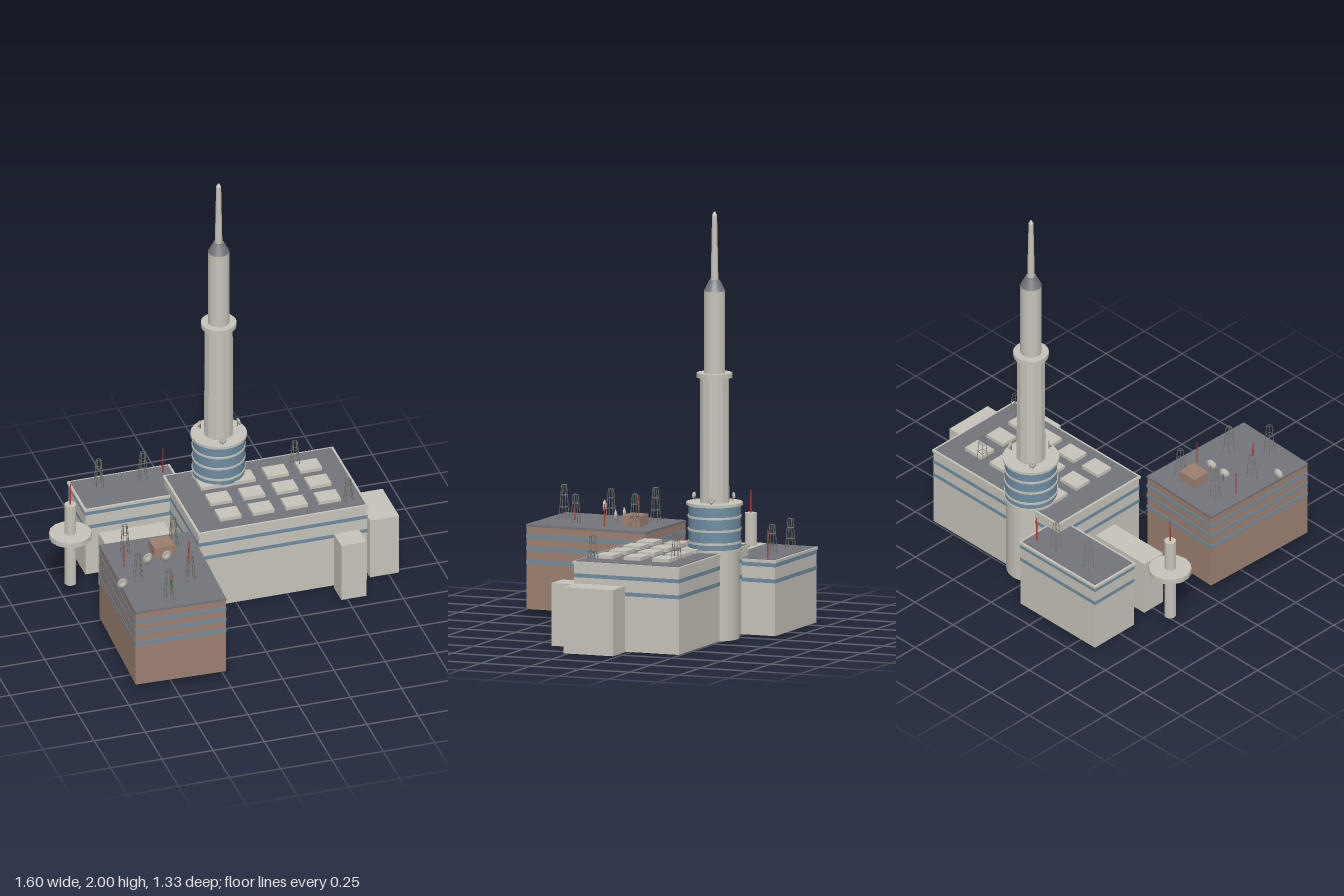
import * as THREE from 'three';

const mat = (name, color) => {
  const m = new THREE.MeshStandardMaterial({ color });
  m.name = name;
  return m;
};

export function createModel() {
  const root = new THREE.Group();
  root.name = 'broadcastComplex';
  const concrete = mat('concrete', 0xc5c2b8);
  const roofGrey = mat('roofGrey', 0x73737b);
  const glass = mat('blueGlass', 0x6d8ca1);
  const brick = mat('brownBrick', 0x9c7f70);
  const steel = mat('steel', 0x77776f);
  const red = mat('warningRed', 0xb5352c);
  const facetted = mat('shaftConcrete', 0xc5c2b8);
  facetted.flatShading = true;

  const add = (parent, name, geo, material, x = 0, y = 0, z = 0) => {
    const m = new THREE.Mesh(geo, material);
    m.name = name;
    m.position.set(x, y, z);
    parent.add(m);
    return m;
  };
  // box given by its centre in plan, size, and bottom and top heights
  const box = (parent, name, material, x, z, w, d, y0, y1) =>
    add(parent, name, new THREE.BoxGeometry(w, y1 - y0, d), material, x, (y0 + y1) / 2, z);
  const tube = (parent, name, material, x, z, r0, r1, y0, y1, sides = 24) =>
    add(parent, name, new THREE.CylinderGeometry(r1, r0, y1 - y0, sides), material, x, (y0 + y1) / 2, z);
  const rod = (parent, name, a, b, r, material) => {
    const dir = b.clone().sub(a);
    const m = add(parent, name, new THREE.CylinderGeometry(r, r, dir.length(), 4), material);
    m.position.copy(a).addScaledVector(dir, 0.5);
    m.quaternion.setFromUnitVectors(new THREE.Vector3(0, 1, 0), dir.normalize());
  };

  // block with window bands and a roof
  function building(name, wall, x, z, w, d, y0, y1, bands, rim) {
    const g = new THREE.Group();
    g.name = name;
    g.position.set(x, 0, z);
    root.add(g);
    box(g, 'walls', wall, 0, 0, w, d, y0, y1 - 0.006);
    for (const y of bands) box(g, 'windowBand', glass, 0, 0, w + 0.004, d + 0.004, y - 0.009, y + 0.009);
    if (rim) box(g, 'parapet', concrete, 0, 0, w + 0.012, d + 0.012, y1 - 0.012, y1);
    const e = rim ? -0.012 : 0.004;
    box(g, 'roof', roofGrey, 0, 0, w + e, d + e, y1 - 0.008, y1 + 0.003);
    return g;
  }

  building('mainHall', concrete, 0.23, -0.225, 0.82, 0.53, 0, 0.41, [0.345, 0.27], true);
  building('rearHall', concrete, -0.347, -0.532, 0.49, 0.256, 0, 0.355, [0.332, 0.257], true);
  const brown = building('brickHall', brick, -0.455, 0.345, 0.435, 0.612, 0.035, 0.43, [0.377, 0.32, 0.258], false);
  brown.rotation.y = -0.035;

  // skylights in a grid
  for (const x of [-0.005, 0.156, 0.318, 0.479])
    for (const z of [-0.35, -0.207, -0.065])
      box(root, 'skylight', concrete, x, z, 0.106, 0.086, 0.41, 0.43);

  // annexes
  box(root, 'sideAnnex', concrete, 0.73, -0.1, 0.142, 0.25, 0, 0.31);
  box(root, 'frontAnnex', concrete, 0.533, 0.117, 0.123, 0.113, 0, 0.295);
  box(root, 'linkBlock', concrete, -0.4, -0.243, 0.32, 0.124, 0, 0.28);
  box(root, 'penthouse', brick, -0.405, 0.175, 0.1, 0.09, 0.43, 0.485);

  // main tower
  const tower = new THREE.Group();
  tower.name = 'tower';
  tower.position.set(0.065, 0, -0.425);
  root.add(tower);
  tube(tower, 'towerBase', concrete, 0, 0, 0.115, 0.115, 0, 0.415, 32);
  tube(tower, 'glassDrum', glass, 0, 0, 0.122, 0.122, 0.415, 0.63, 32);
  for (const y of [0.42, 0.455, 0.515, 0.575]) tube(tower, 'drumRing', concrete, 0, 0, 0.126, 0.126, y - 0.005, y + 0.005, 32);
  tube(tower, 'platform', concrete, 0, 0, 0.132, 0.132, 0.627, 0.64, 32);
  tube(tower, 'lowerShaft', facetted, 0, 0, 0.069, 0.067, 0.64, 1.226, 12);
  tube(tower, 'collar', concrete, 0, 0, 0.083, 0.083, 1.224, 1.246, 32);
  tube(tower, 'upperShaft', concrete, 0, 0, 0.05, 0.05, 1.246, 1.63);
  tube(tower, 'cone', roofGrey, 0, 0, 0.05, 0.025, 1.63, 1.68);
  tube(tower, 'spire', concrete, 0, 0, 0.018, 0.012, 1.68, 1.985, 12);
  tube(tower, 'spireTip', concrete, 0, 0, 0.012, 0.004, 1.985, 2, 12);

  // small pylon with a disc
  tube(root, 'pylonShaft', facetted, -0.705, -0.28, 0.028, 0.028, 0.05, 0.48, 12);
  tube(root, 'pylonDisc', concrete, -0.705, -0.28, 0.1, 0.1, 0.3, 0.326, 14);

  // red whip aerials: x, z, bottom, top
  for (const [x, z, y0, y1] of [[-0.705, -0.28, 0.48, 0.59], [-0.612, 0.245, 0.43, 0.545], [-0.31, 0.29, 0.43, 0.54],
    [-0.462, 0.505, 0.43, 0.51], [-0.15, -0.602, 0.355, 0.49]])
    tube(root, 'whipAerial', red, x, z, 0.0035, 0.0025, y0, y1, 6);

  // lattice masts: x, z, bottom, height
  function mast(x, z, y0, h) {
    const g = new THREE.Group();
    g.name = 'latticeMast';
    g.position.set(x, y0, z);
    root.add(g);
    const corner = (i, t) => {
      const r = 0.018 - 0.009 * t;
      return new THREE.Vector3(i % 3 ? r : -r, h * t, i > 1 ? r : -r);
    };
    for (let i = 0; i < 4; i++) {
      const j = (i + 1) % 4;
      rod(g, 'leg', corner(i, 0), corner(i, 1), 0.002, steel);
      for (const t of [0.35, 0.7, 1]) rod(g, 'brace', corner(i, t), corner(j, t), 0.0015, steel);
    }
  }
  [[-0.575, 0.145, 0.43, 0.16], [-0.34, 0.15, 0.43, 0.16], [-0.585, 0.375, 0.43, 0.14], [-0.355, 0.455, 0.43, 0.14],
    [-0.5, 0.575, 0.43, 0.16], [-0.47, -0.58, 0.355, 0.145], [-0.255, -0.58, 0.355, 0.145],
    [0.425, -0.385, 0.41, 0.135], [0.57, -0.025, 0.41, 0.115]].forEach((m) => mast(...m));

  // dishes: x, y, z, radius, heading, floor height
  const bowl = [[0, -0.35], [0.5, -0.25], [1, 0], [0.5, -0.15], [0, -0.25]];
  for (const [x, y, z, r, a, floor] of [[-0.685, 0.475, 0.45, 0.027, 0.1, 0.43], [-0.505, 0.475, 0.275, 0.027, 0.25, 0.43],
    [-0.415, 0.475, 0.28, 0.027, 0.25, 0.43], [-0.01, 0.662, -0.49, 0.017, -2.3, 0.635],
    [0.172, 0.662, -0.455, 0.017, 1.85, 0.635], [0.05, 0.662, -0.315, 0.017, -0.15, 0.635]]) {
    const g = new THREE.LatheGeometry(bowl.map(([u, v]) => new THREE.Vector2(u * r, v * r)), 16);
    const d = add(root, 'dish', g.rotateX(Math.PI / 2), concrete, x, y, z);
    d.rotation.y = a;
    tube(root, 'dishPost', steel, x - Math.sin(a) * r * 0.35, z - Math.cos(a) * r * 0.35, 0.003, 0.003, floor, y, 6);
  }
  return root;
}
